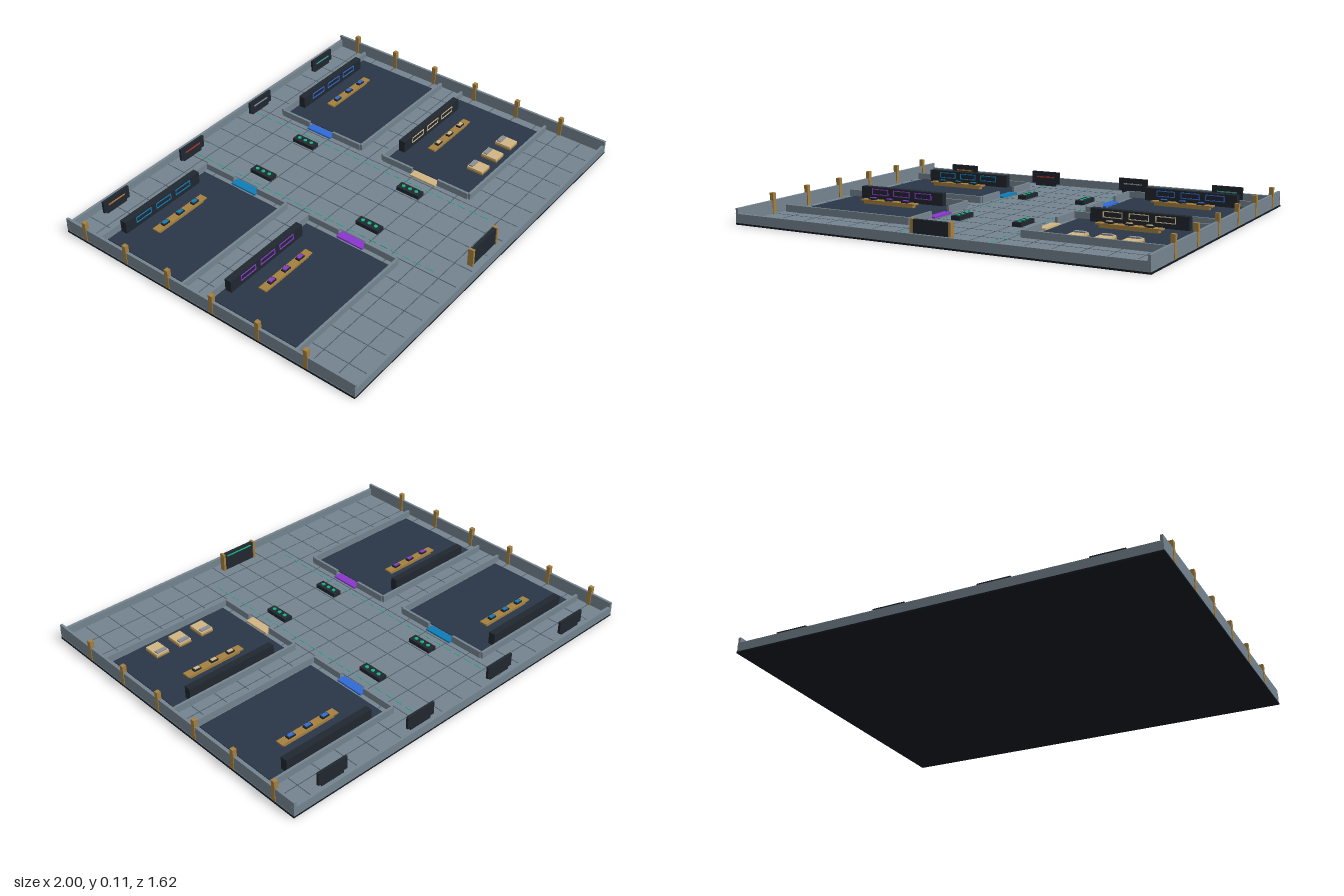
import * as THREE from 'three';

const mat = (color) => new THREE.MeshStandardMaterial({ color });
const M = {
  wall: mat(0x74848f), base: mat(0x131a22), line: mat(0x4c5a66), gold: mat(0xa5803f),
  dark: mat(0x20272f), room: mat(0x2a3646), green: mat(0x12b886), teal: mat(0x3f9f90),
  cyan: mat(0x0e7db8), blue: mat(0x2f6bd8), purple: mat(0x8a35cc), tan: mat(0xd2b583),
  grey: mat(0x8a8f96), red: mat(0xb03028), orange: mat(0xb87333),
};
const FLOOR = 0.012;

// Box given by its extents on each axis
function box(parent, name, m, x0, x1, y0, y1, z0, z1) {
  const mesh = new THREE.Mesh(new THREE.BoxGeometry(x1 - x0, y1 - y0, z1 - z0), m);
  mesh.position.set((x0 + x1) / 2, (y0 + y1) / 2, (z0 + z1) / 2);
  mesh.name = name;
  parent.add(mesh);
  return mesh;
}

function group(parent, name, x = 0, z = 0) {
  const g = new THREE.Group();
  g.name = name;
  g.position.set(x, 0, z);
  parent.add(g);
  return g;
}

// Rectangular outline facing +z
function screenFrame(parent, name, m, x, y, z, w, h, t = 0.004) {
  const s = new THREE.Shape();
  s.moveTo(-w / 2, -h / 2).lineTo(w / 2, -h / 2).lineTo(w / 2, h / 2).lineTo(-w / 2, h / 2).closePath();
  const a = w / 2 - t, b = h / 2 - t;
  const hole = new THREE.Path();
  hole.moveTo(-a, -b).lineTo(-a, b).lineTo(a, b).lineTo(a, -b).closePath();
  s.holes.push(hole);
  const mesh = new THREE.Mesh(new THREE.ExtrudeGeometry(s, { depth: 0.003, bevelEnabled: false }), m);
  mesh.position.set(x, y, z);
  mesh.name = name;
  parent.add(mesh);
}

// One bay: side is -1 or 1, z is the bay centre
function bay(parent, name, side, z, accent) {
  const g = group(parent, name, side * 0.625, z);
  const inner = -side * 0.343; // wall facing the central aisle
  box(g, 'bayFloor', M.room, -0.312, 0.312, FLOOR, 0.016, -0.235, 0.235);

  // Low walls with a doorway towards the aisle
  const wx0 = Math.min(inner, side * 0.345), wx1 = Math.max(inner, side * 0.345);
  for (const s of [-1, 1]) {
    box(g, 'bayWall', M.wall, wx0, wx1, FLOOR, 0.045, s * 0.248 - 0.006, s * 0.248 + 0.006);
    const za = s < 0 ? -0.242 : 0.072, zb = s < 0 ? -0.072 : 0.242;
    box(g, 'doorWall', M.wall, inner - 0.006, inner + 0.006, FLOOR, 0.045, za, zb);
  }
  box(g, 'threshold', accent, inner - 0.021, inner + 0.021, FLOOR, 0.02, -0.072, 0.072);

  // Back cabinet with three framed screens
  box(g, 'cabinet', M.dark, -0.235, 0.235, FLOOR, 0.077, -0.229, -0.195);
  for (const x of [-0.125, 0, 0.125]) {
    screenFrame(g, 'screenFrame', accent, x, 0.054, -0.195, 0.095, 0.03);
  }

  // Counter with three small devices
  box(g, 'counterBase', M.gold, -0.14, 0.14, FLOOR, 0.03, -0.105, -0.08);
  box(g, 'counterTop', M.gold, -0.155, 0.155, 0.03, 0.037, -0.112, -0.073);
  for (const x of [-0.094, 0, 0.094]) {
    box(g, 'device', M.dark, x - 0.019, x + 0.019, 0.037, 0.045, -0.103, -0.081);
    box(g, 'deviceLight', accent, x - 0.014, x + 0.014, 0.045, 0.048, -0.1, -0.084);
  }
  return g;
}

export function createModel() {
  const model = new THREE.Group();
  model.name = 'stationDeck';

  // Deck and perimeter walls
  box(model, 'deckBase', M.base, -1, 1, 0, 0.008, -0.81, 0.81);
  box(model, 'deckFloor', M.wall, -0.998, 0.998, 0.008, FLOOR, -0.808, 0.808);
  for (const s of [-1, 1]) {
    box(model, 'endWall', M.wall, -0.998, 0.998, 0.008, 0.05, s * 0.803 - 0.007, s * 0.803 + 0.007);
    box(model, 'sideWall', M.wall, s * 0.991 - 0.006, s * 0.991 + 0.006, 0.008, 0.075, -0.81, 0.81);
    // Gold wall posts
    for (let i = 0; i < 6; i++) {
      const z = -0.69 + i * 0.251;
      box(model, 'wallPost', M.gold, s * 0.99 - 0.01, s * 0.99 + 0.01, 0.01, 0.11, z - 0.01, z + 0.01);
    }
  }

  // Floor seams
  const seams = group(model, 'floorSeams');
  for (let i = -7; i <= 7; i++) {
    box(seams, 'seam', M.line, i * 0.125 - 0.002, i * 0.125 + 0.002, FLOOR, 0.0128, -0.796, 0.796);
  }
  for (let i = 0; i < 12; i++) {
    const z = -0.69 + i * 0.125;
    box(seams, 'seam', M.line, -0.985, 0.985, FLOOR, 0.0127, z - 0.002, z + 0.002);
  }

  // Dashed guide lights along the aisle
  for (const x of [-0.225, 0.215]) {
    for (let i = 0; i < 23; i++) {
      const z = -0.74 + i * 0.061;
      box(model, 'guideLight', M.teal, x - 0.003, x + 0.003, FLOOR, 0.0135, z, z + 0.04);
    }
  }

  // Four bays
  bay(model, 'backRightBay', -1, -0.38, M.cyan);
  bay(model, 'backLeftBay', 1, -0.38, M.blue);
  bay(model, 'frontRightBay', -1, 0.245, M.purple);
  const quarters = bay(model, 'frontLeftBay', 1, 0.245, M.tan);

  // Beds
  for (const x of [-0.125, 0, 0.125]) {
    const bed = group(quarters, 'bed', x, 0.158);
    box(bed, 'bedFrame', M.gold, -0.034, 0.034, 0.016, 0.024, -0.043, 0.043);
    box(bed, 'mattress', M.tan, -0.033, 0.033, 0.024, 0.034, -0.042, 0.042);
    box(bed, 'pillow', M.grey, -0.026, 0.026, 0.034, 0.04, -0.036, -0.016);
  }

  // Aisle consoles with status lights
  for (const x of [-0.157, 0.157]) {
    for (const z of [-0.38, 0.247]) {
      const c = group(model, 'console', x, z);
      box(c, 'consoleBody', M.dark, -0.022, 0.022, FLOOR, 0.032, -0.062, 0.062);
      for (const d of [-0.036, 0, 0.036]) {
        const light = new THREE.Mesh(new THREE.CylinderGeometry(0.009, 0.009, 0.004, 12), M.green);
        light.position.set(0, 0.034, d);
        light.name = 'statusLight';
        c.add(light);
      }
    }
  }

  // Display boards along the back
  [M.orange, M.red, M.grey, M.teal].forEach((accent, i) => {
    const d = group(model, 'displayBoard', -0.75 + i * 0.5, -0.755);
    box(d, 'board', M.dark, -0.078, 0.078, 0.025, 0.087, -0.006, 0.006);
    box(d, 'boardStand', M.dark, -0.06, 0.06, FLOOR, 0.025, -0.005, 0.005);
    box(d, 'boardLine', accent, -0.05, 0.05, 0.056, 0.062, 0.006, 0.009);
  });

  // Entry gate at the front
  const gate = group(model, 'entryGate', 0, 0.747);
  box(gate, 'gatePanel', M.dark, -0.09, 0.09, FLOOR, 0.1, -0.009, 0.009);
  box(gate, 'gateLight', M.green, -0.075, 0.075, 0.086, 0.092, -0.012, -0.009);
  for (const s of [-1, 1]) {
    box(gate, 'gatePost', M.gold, s * 0.094 - 0.006, s * 0.094 + 0.006, FLOOR, 0.103, -0.014, 0.014);
  }
  return model;
}
